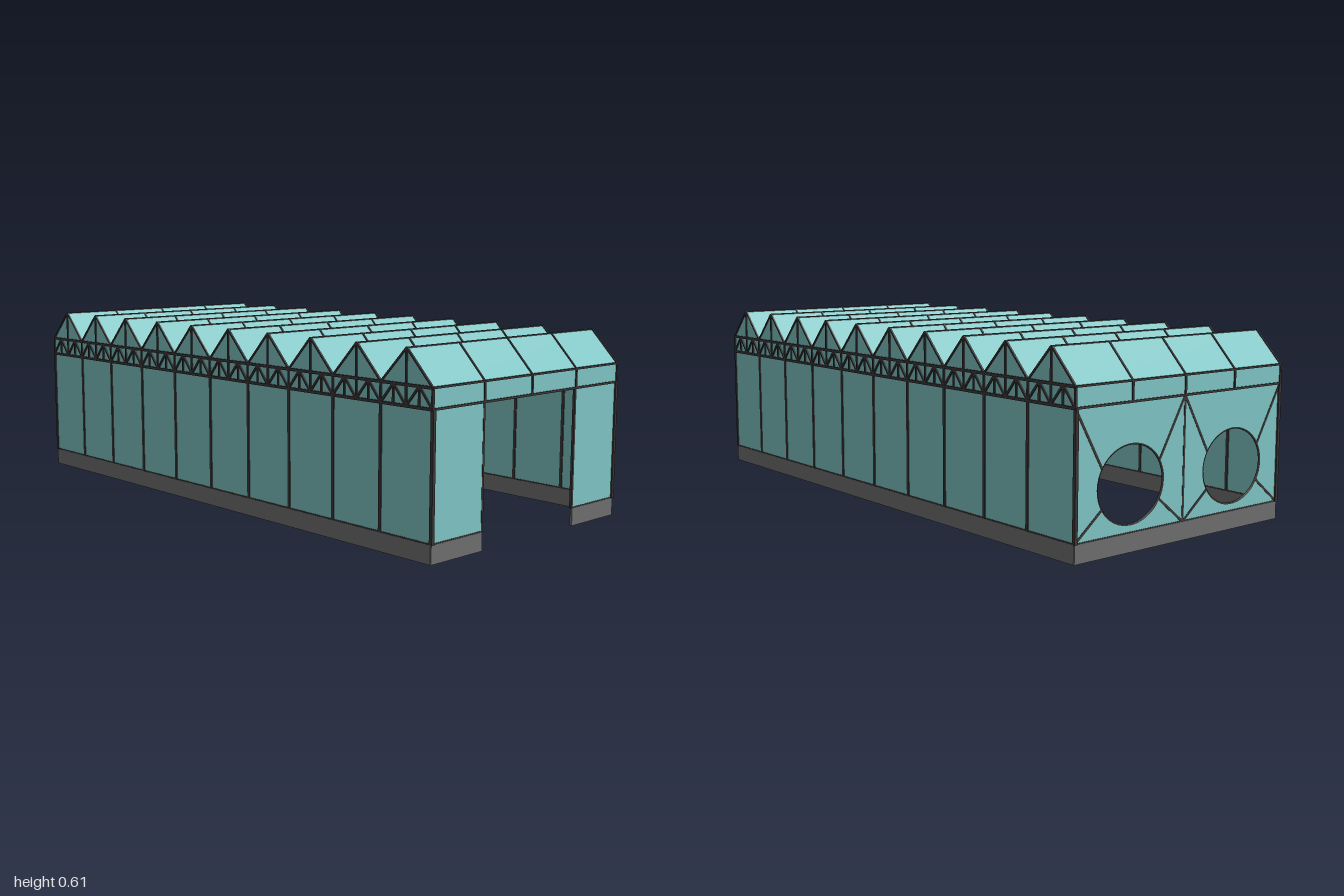
import * as THREE from 'three';

const W = 0.442, L = 0.992;            // half width, half length
const BASE = 0.057, EAVE = 0.44, ROOF = 0.5, RIDGE = 0.604;
const BAYS = 10, BAY = (2 * L) / BAYS;
const COLS = [-W, -W / 2, 0, W / 2, W]; // cross-wise panel joints
const T = 0.006;                        // sheet thickness

const panelMat = new THREE.MeshStandardMaterial({ color: 0x7fc4c4 });
const frameMat = new THREE.MeshStandardMaterial({ color: 0x3a3636 });
const plinthMat = new THREE.MeshStandardMaterial({ color: 0x6e6e6e });

const V = (x, y, z) => new THREE.Vector3(x, y, z);

function group(parent, name) {
  const g = new THREE.Group();
  g.name = name;
  parent.add(g);
  return g;
}

function add(parent, name, geometry, material) {
  const m = new THREE.Mesh(geometry, material);
  m.name = name;
  parent.add(m);
  return m;
}

// Box given by its lower and upper corners
function slab(parent, name, material, x0, x1, y0, y1, z0, z1) {
  const m = add(parent, name, new THREE.BoxGeometry(x1 - x0, y1 - y0, z1 - z0), material);
  m.position.set((x0 + x1) / 2, (y0 + y1) / 2, (z0 + z1) / 2);
}

// Square bar between two points
function bar(parent, name, a, b, t = 0.007) {
  const d = b.clone().sub(a);
  const m = add(parent, name, new THREE.BoxGeometry(t, d.length(), t), frameMat);
  m.position.copy(a).add(b).multiplyScalar(0.5);
  m.quaternion.setFromUnitVectors(V(0, 1, 0), d.normalize());
}

function buildRoof(root) {
  const roof = group(root, 'roof');

  // Saw-tooth solid: flat ceiling, fascia band and ridges
  const s = new THREE.Shape();
  s.moveTo(-L, EAVE);
  s.lineTo(L, EAVE);
  s.lineTo(L, ROOF);
  for (let i = 0; i < BAYS; i++) {
    const z = L - i * BAY;
    s.lineTo(z - BAY / 2, RIDGE);
    s.lineTo(z - BAY, ROOF);
  }
  const geo = new THREE.ExtrudeGeometry(s, { depth: 2 * W, bevelEnabled: false });
  geo.rotateY(-Math.PI / 2).translate(W, 0, 0);
  add(roof, 'sawtoothRoof', geo, panelMat);

  // Ridge, valley and sloping joints
  const joints = group(roof, 'roofJoints');
  for (let i = 0; i <= BAYS; i++) {
    const z = -L + i * BAY;
    bar(joints, 'valleyBar', V(-W, ROOF, z), V(W, ROOF, z), 0.006);
    if (i === BAYS) break;
    const zr = z + BAY / 2;
    bar(joints, 'ridgeBar', V(-W, RIDGE, zr), V(W, RIDGE, zr), 0.004);
    for (const x of COLS) {
      bar(joints, 'slopeBar', V(x, ROOF, z), V(x, RIDGE, zr), 0.006);
      bar(joints, 'slopeBar', V(x, RIDGE, zr), V(x, ROOF, z + BAY), 0.006);
    }
  }

  // Ceiling joints and end fascia framing
  for (const x of COLS) {
    bar(joints, 'ceilingBar', V(x, EAVE, -L), V(x, EAVE, L), 0.006);
    for (const z of [-L, L]) bar(joints, 'fasciaPost', V(x, EAVE, z), V(x, ROOF, z));
  }
  for (const z of [-L, L]) bar(joints, 'eaveBar', V(-W, EAVE, z), V(W, EAVE, z));

  // Side trusses and gable posts
  for (const x of [-W, W]) {
    const truss = group(roof, 'sideTruss');
    for (const y of [EAVE, ROOF]) bar(truss, 'trussChord', V(x, y, -L), V(x, y, L), 0.009);
    for (let i = 0; i < BAYS; i++) {
      const z = -L + i * BAY, q = BAY / 4;
      bar(truss, 'gablePost', V(x, ROOF, z + 2 * q), V(x, RIDGE, z + 2 * q));
      for (let k = 0; k < 4; k++) {
        const up = k % 2 === 0;
        bar(truss, 'trussPost', V(x, EAVE, z + k * q), V(x, ROOF, z + k * q));
        bar(truss, 'trussBrace', V(x, up ? EAVE : ROOF, z + k * q),
          V(x, up ? ROOF : EAVE, z + (k + 1) * q));
      }
    }
    bar(truss, 'trussPost', V(x, EAVE, L), V(x, ROOF, L));
  }
}

function buildSide(root, side) {
  const g = group(root, side > 0 ? 'leftSide' : 'rightSide');
  const x = side * W, xi = side * (W - T);
  const x0 = Math.min(x, xi), x1 = Math.max(x, xi);
  slab(g, 'sideWall', panelMat, x0, x1, BASE, EAVE, -L, L);
  slab(g, 'sidePlinth', plinthMat, x0 - 0.002, x1 + 0.002, 0, BASE, -L, L);
  bar(g, 'sillBar', V(side * (W - T / 2), BASE, -L), V(side * (W - T / 2), BASE, L), 0.009);
  for (let i = 0; i <= BAYS; i++) {
    const z = -L + i * BAY;
    bar(g, 'wallPost', V(side * (W - T / 2), BASE, z), V(side * (W - T / 2), EAVE, z), 0.011);
  }

  // Front panel beside the open entrance
  const a = Math.min(side * W / 2, x), b = Math.max(side * W / 2, x);
  slab(g, 'frontPanel', panelMat, a, b, BASE, EAVE, L - T, L);
  slab(g, 'frontPlinth', plinthMat, a, b, 0, BASE, L - T, L + 0.002);
  const zf = L - T / 2;
  bar(g, 'entrancePost', V(side * W / 2, BASE, zf), V(side * W / 2, EAVE, zf), 0.008);
  bar(g, 'frontSill', V(a, BASE, zf), V(b, BASE, zf), 0.008);
}

function buildBack(root) {
  const g = group(root, 'backWall');
  const cy = 0.2, rx = 0.135, ry = 0.119, zb = -L + T / 2;

  // Wall sheet with two oval openings
  const s = new THREE.Shape([[-W, BASE], [W, BASE], [W, EAVE], [-W, EAVE]]
    .map(p => new THREE.Vector2(...p)));
  for (const side of [-1, 1]) {
    s.holes.push(new THREE.Path().absellipse(side * W / 2, cy, rx, ry, 0, Math.PI * 2, true));
  }
  const geo = new THREE.ExtrudeGeometry(s, { depth: T, bevelEnabled: false, curveSegments: 20 });
  add(g, 'backSheet', geo.translate(0, 0, -L), panelMat);
  slab(g, 'backPlinth', plinthMat, -W, W, 0, BASE, -L - 0.002, -L + T);

  bar(g, 'backSill', V(-W, BASE, zb), V(W, BASE, zb), 0.008);
  bar(g, 'centrePost', V(0, BASE, zb), V(0, EAVE, zb), 0.008);

  // Oval rims and struts running to the panel corners
  for (const side of [-1, 1]) {
    const cx = side * W / 2, pts = [];
    for (let i = 0; i < 36; i++) {
      const t = (i / 36) * Math.PI * 2;
      pts.push(V(cx + rx * Math.cos(t), cy + ry * Math.sin(t), zb));
    }
    const rim = new THREE.CatmullRomCurve3(pts, true);
    add(g, 'openingRim', new THREE.TubeGeometry(rim, 48, 0.004, 6, true), frameMat);
    for (const sx of [-1, 1]) for (const sy of [-1, 1]) {
      const near = V(cx + sx * rx * Math.cos(Math.PI / 6), cy + sy * ry * 0.5, zb);
      bar(g, 'cornerStrut', near, V(cx + sx * W / 2, sy > 0 ? EAVE : BASE, zb), 0.008);
    }
  }
}

export function createModel() {
  const root = new THREE.Group();
  root.name = 'hall';
  buildRoof(root);
  buildSide(root, 1);
  buildSide(root, -1);
  buildBack(root);
  return root;
}
